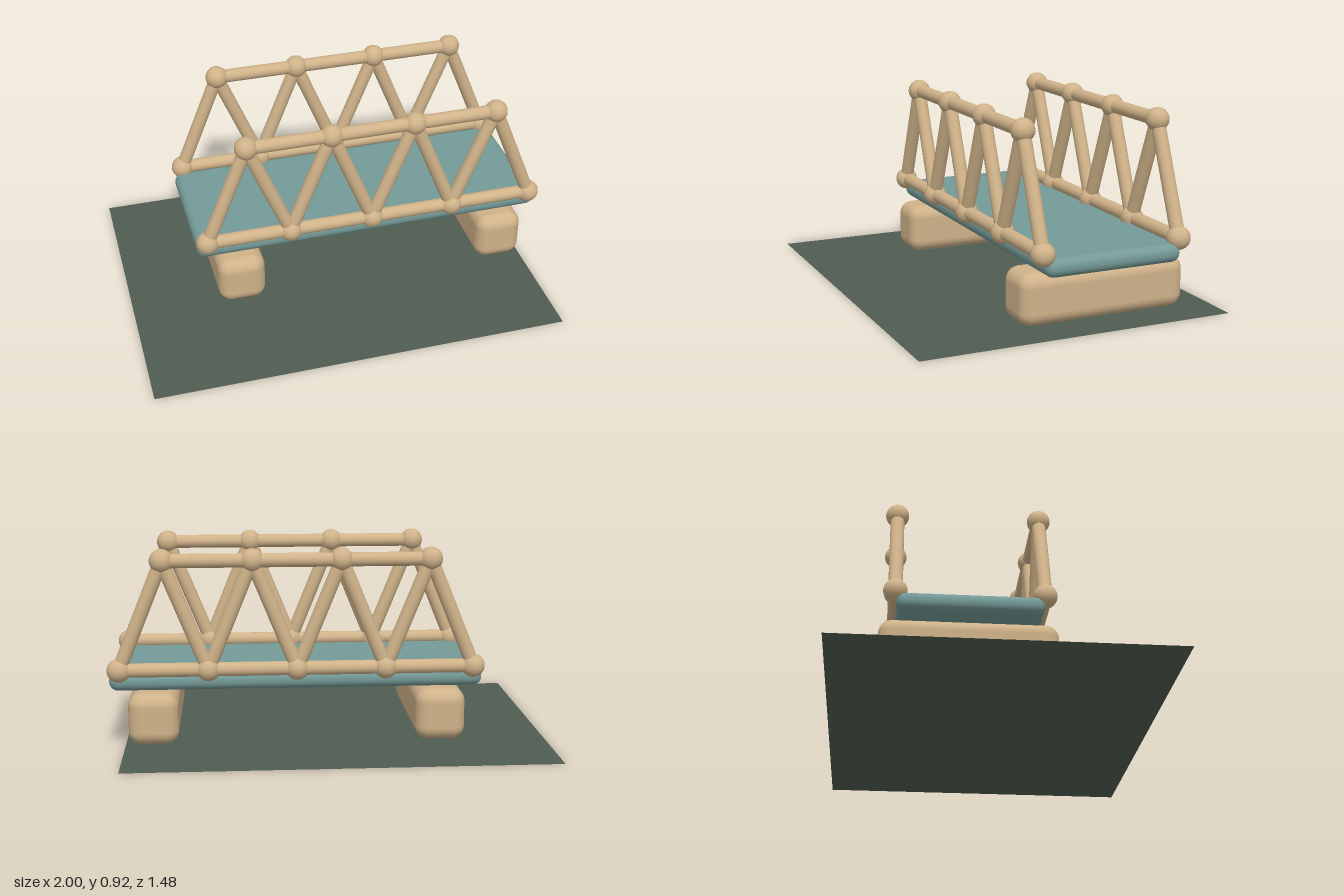
import * as THREE from 'three';
import { RoundedBoxGeometry } from 'three/addons/geometries/RoundedBoxGeometry.js';

export function createModel() {
  const model = new THREE.Group();
  model.name = 'trussBridge';

  const wood = new THREE.MeshStandardMaterial({ color: 0xcfb289 });
  wood.name = 'tan wood';
  const teal = new THREE.MeshStandardMaterial({ color: 0x749a97 });
  teal.name = 'teal deck';
  const green = new THREE.MeshStandardMaterial({ color: 0x505d52, side: THREE.DoubleSide });
  green.name = 'dark green ground';

  const CX = 0.155, CZ = -0.131; // bridge centre
  const add = (parent, name, geometry, material, x, y, z) => {
    const mesh = new THREE.Mesh(geometry, material);
    mesh.name = name;
    mesh.position.set(x, y, z);
    parent.add(mesh);
    return mesh;
  };

  // Ground sheet
  const ground = new THREE.PlaneGeometry(1.935, 1.48).rotateX(-Math.PI / 2);
  add(model, 'ground', ground, green, -0.0325, 0, 0);

  // Deck and the two piers carrying it
  add(model, 'deck', new RoundedBoxGeometry(1.674, 0.084, 0.642, 6, 0.04), teal, CX, 0.325, CZ);
  const pierGeometry = new RoundedBoxGeometry(0.223, 0.233, 0.788, 6, 0.06);
  for (const side of [-1, 1]) {
    add(model, side < 0 ? 'rightPier' : 'leftPier', pierGeometry, wood, CX + side * 0.641, 0.167, CZ);
  }

  // Round beam between two joints
  const UP = new THREE.Vector3(0, 1, 0);
  const beam = (parent, name, a, b) => {
    const direction = b.clone().sub(a);
    const geometry = new THREE.CylinderGeometry(0.0315, 0.0315, direction.length(), 24);
    const middle = a.clone().add(b).multiplyScalar(0.5);
    const mesh = add(parent, name, geometry, wood, middle.x, middle.y, middle.z);
    mesh.quaternion.setFromUnitVectors(UP, direction.normalize());
  };

  // Zigzag truss: even joints sit low, odd joints sit high
  const jointGeometry = new THREE.SphereGeometry(0.053, 24, 16);
  for (const side of [-1, 1]) {
    const truss = new THREE.Group();
    truss.name = side > 0 ? 'frontTruss' : 'backTruss';
    truss.position.set(CX, 0, CZ + side * 0.325);
    model.add(truss);

    const joints = [];
    for (let i = 0; i < 9; i++) {
      joints.push(new THREE.Vector3((i - 4) * 0.1975, i % 2 ? 0.869 : 0.383, 0));
    }
    joints.forEach((p, i) => {
      add(truss, 'joint', jointGeometry, wood, p.x, p.y, p.z);
      if (i < 8) beam(truss, 'diagonal', p, joints[i + 1]);
      if (i < 7) beam(truss, i % 2 ? 'topChord' : 'bottomChord', p, joints[i + 2]);
    });
  }

  return model;
}
